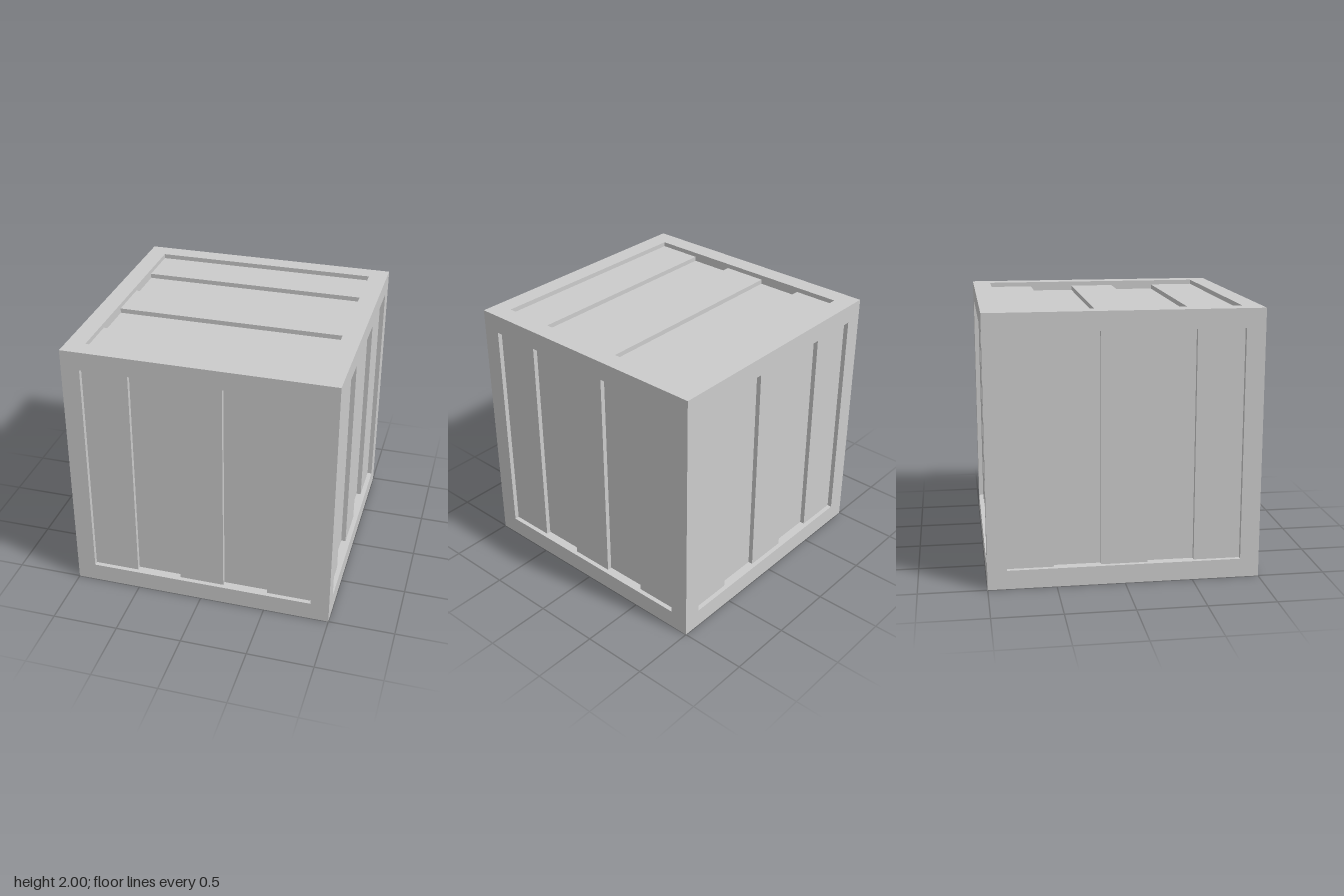
import * as THREE from 'three';

const HALF = 1;          // half the crate's size
const INNER = 0.86;      // inner edge of the frame
const STEP = 0.035;      // height difference between frame, raised and sunken planks
const COUNT = 5;         // planks per side

const material = new THREE.MeshStandardMaterial({ color: 0xcccccc, flatShading: true });

// Square mitred border with its inner walls, facing +y
function createFrame() {
  const d = Math.SQRT2;
  const profile = [
    new THREE.Vector2(HALF * d, HALF),
    new THREE.Vector2(INNER * d, HALF),
    new THREE.Vector2(INNER * d, HALF - 2 * STEP),
  ];
  const frame = new THREE.Mesh(new THREE.LatheGeometry(profile, 4, Math.PI / 4), material);
  frame.name = 'frame';
  return frame;
}

// One side of the crate: frame plus planks running along x, facing +y
function createSide(name) {
  const side = new THREE.Group();
  side.name = name;
  side.add(createFrame());

  const width = (2 * INNER) / COUNT;
  for (let i = 0; i < COUNT; i++) {
    const raised = i % 2 === 0;
    const top = HALF - (raised ? STEP : 2 * STEP);
    const thickness = top - (HALF - 3 * STEP);
    const plank = new THREE.Mesh(new THREE.BoxGeometry(2 * INNER, thickness, width), material);
    plank.position.set(0, top - thickness / 2, -INNER + width * (i + 0.5));
    plank.name = raised ? 'raisedPlank' : 'sunkenPlank';
    side.add(plank);
  }
  return side;
}

export function createModel() {
  const crate = new THREE.Group();
  crate.name = 'crate';

  // Lid and base
  const lid = createSide('lid');
  const base = createSide('base');
  base.rotation.x = Math.PI;
  crate.add(lid, base);

  // Four walls with upright planks
  ['leftWall', 'frontWall', 'rightWall', 'backWall'].forEach((name, i) => {
    const wall = createSide(name);
    wall.rotation.set(0, (-i * Math.PI) / 2, -Math.PI / 2, 'YXZ');
    crate.add(wall);
  });

  crate.position.y = HALF;
  const model = new THREE.Group();
  model.add(crate);
  return model;
}
